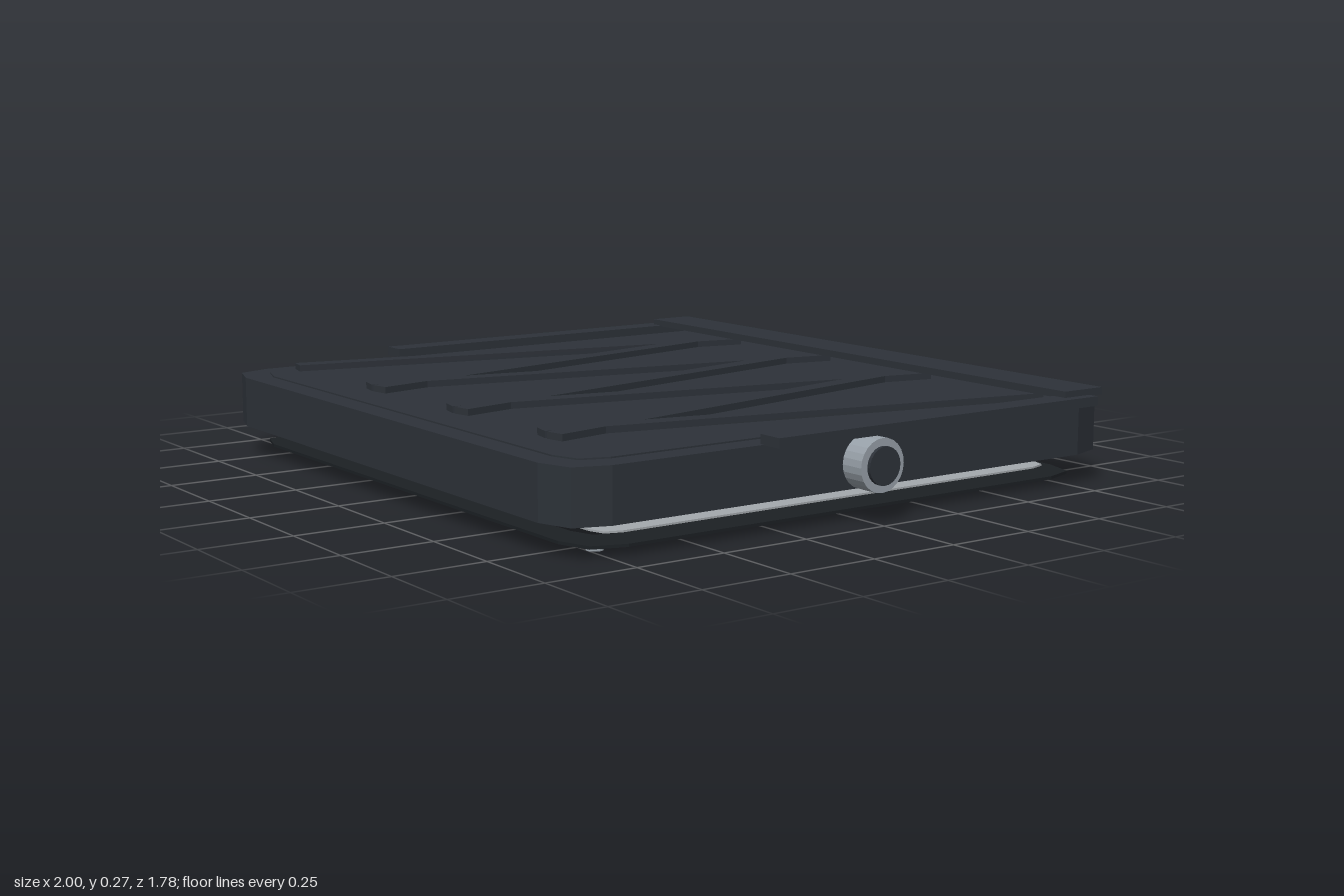
import * as THREE from 'three';

const mat = (color) => new THREE.MeshStandardMaterial({ color, flatShading: true });

export function createModel() {
  const model = new THREE.Group();
  const dark = mat(0x2d3239), black = mat(0x1c2024), metal = mat(0x98a1a9), sheet = mat(0xa4a9ad), gold = mat(0xb59a55);

  const add = (name, geometry, material, x = 0, y = 0, z = 0) => {
    const mesh = new THREE.Mesh(geometry, material);
    mesh.name = name;
    mesh.position.set(x, y, z);
    model.add(mesh);
    return mesh;
  };

  // Corner points of a rectangle whose corners are faceted by c
  const outline = (hx, hz, c) => {
    const corner = [[hx, hz - c], [hx - c * 0.25, hz - c * 0.25], [hx - c, hz]];
    const back = [...corner].reverse();
    return [
      ...corner,
      ...back.map(([x, z]) => [-x, z]),
      ...corner.map(([x, z]) => [-x, -z]),
      ...back.map(([x, z]) => [x, -z]),
    ].map(([x, z]) => new THREE.Vector2(x, z));
  };

  // Horizontal slab between two heights, with an optional opening
  const slab = (name, material, hx, hz, c, y0, y1, z = 0, hole = null) => {
    const shape = new THREE.Shape(outline(hx, hz, c));
    if (hole) shape.holes.push(new THREE.Path(outline(...hole)));
    const geometry = new THREE.ExtrudeGeometry(shape, { depth: y1 - y0, bevelEnabled: false });
    geometry.rotateX(-Math.PI / 2);
    return add(name, geometry, material, 0, y0, z);
  };

  // Casing and its slightly raised top panel
  slab('casing', dark, 0.92, 0.888, 0.125, 0.085, 0.228);
  slab('topPanel', dark, 0.85, 0.82, 0.1, 0.226, 0.232);

  // Zigzag of crossing ribs on the top
  for (let k = 0; k < 7; k++) {
    const rib = add('zigzagRib', new THREE.BoxGeometry(0.053, 0.022, 1.45), dark, -0.674 + k * 0.2247, 0.239, 0);
    rib.rotation.y = (k % 2 ? 1 : -1) * 0.199;
  }

  // Rear cross bar
  add('rearBar', new THREE.BoxGeometry(1.9, 0.02, 0.14), dark, 0, 0.26, -0.748);

  // Side rails and round side fittings
  for (const s of [-1, 1]) {
    add('sideRail', new THREE.BoxGeometry(0.073, 0.026, 1.09), dark, s * 0.943, 0.24, -0.225);
    const ring = new THREE.LatheGeometry(
      [[0.05, 0], [0.07, 0], [0.07, 0.075], [0.05, 0.075], [0.05, 0]].map(([r, h]) => new THREE.Vector2(r, h)), 24);
    add('fittingRing', ring, metal, s * 0.915, 0.152, 0).rotation.z = -s * Math.PI / 2;
    add('fittingCore', new THREE.CylinderGeometry(0.05, 0.05, 0.085, 24), dark, s * 0.9575, 0.152, 0).rotation.z = Math.PI / 2;
  }

  // Stacked inner panels under the casing
  slab('upperPanel', sheet, 0.6, 0.69, 0.04, 0.079, 0.085);
  slab('middlePanel', sheet, 0.79, 0.72, 0.06, 0.069, 0.076);
  for (const x of [-0.39, -0.13, 0.13, 0.39])
    for (const z of [-0.29, 0, 0.29])
      add('contactPad', new THREE.BoxGeometry(0.04, 0.009, 0.04), gold, x, 0.0655, z);

  // Base: light sheet, dark rear strip and open frame
  slab('baseSheet', sheet, 0.82, 0.742, 0.06, 0.038, 0.043, -0.018);
  slab('rearStrip', black, 0.77, 0.16, 0.05, 0.029, 0.036, -0.6);
  slab('baseFrame', black, 0.89, 0.817, 0.12, 0.02, 0.028, 0, [0.785, 0.735, 0.09]);

  // Feet
  for (const x of [-0.795, 0.795])
    for (const z of [-0.73, 0.73])
      add('foot', new THREE.CylinderGeometry(0.022, 0.022, 0.02, 16), metal, x, 0.01, z);

  return model;
}
